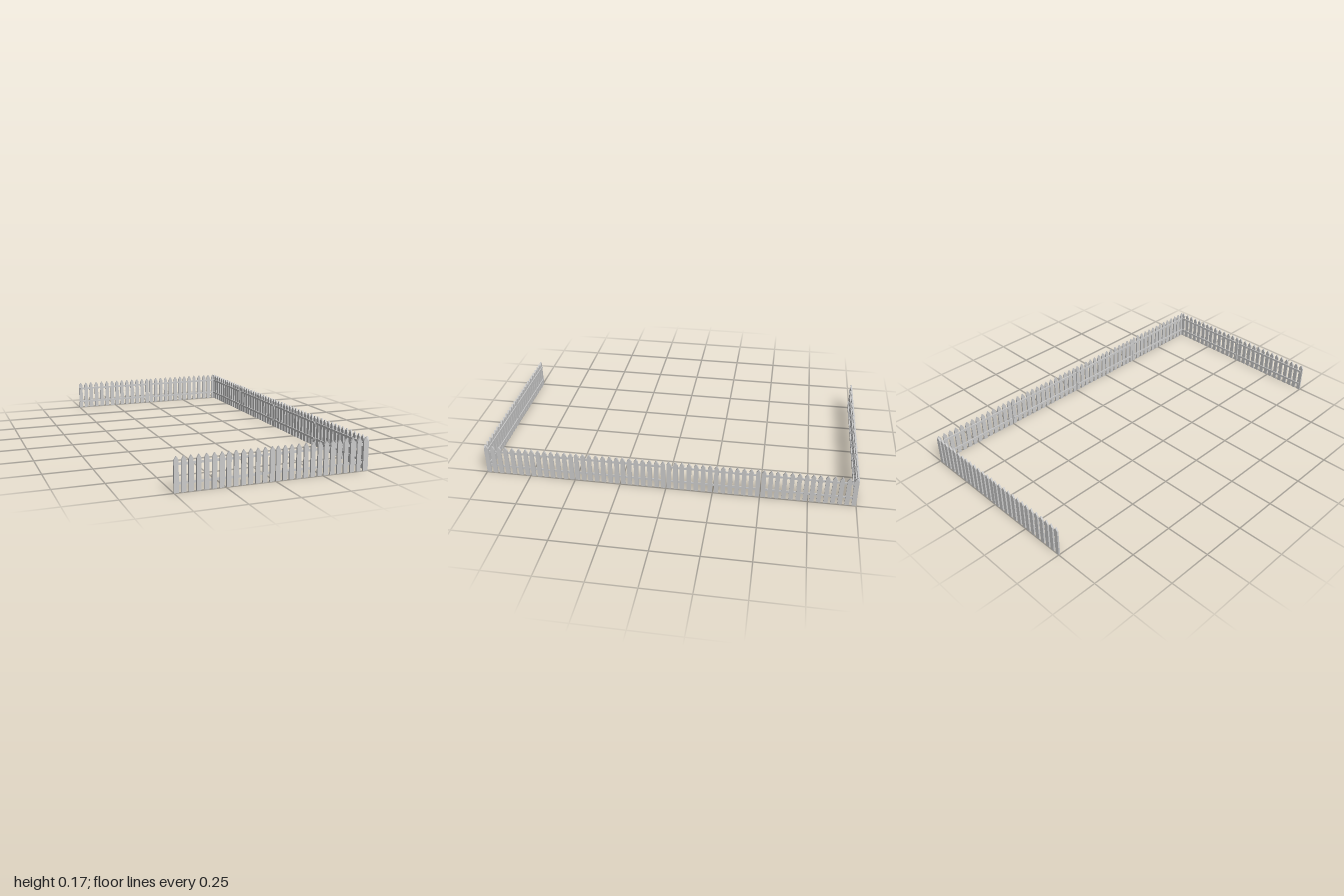
import * as THREE from 'three';

const LENGTH = 0.494, WIDTH = 0.023, THICK = 0.0088, RAIL_THICK = 0.005;
// Slightly uneven picket positions along a section
const OFFSETS = [0, 0.036, 0.0705, 0.108, 0.1455, 0.183, 0.22, 0.2535, 0.289, 0.326, 0.362, 0.3985, 0.435, 0.471];

// Upright board with a pointed top; its outer face lies at z = 0
function picketGeometry() {
  const w = WIDTH / 2, tip = 0.001;
  const outline = [[-w, 0], [w, 0], [w, 0.151], [tip, 0.169], [-tip, 0.169], [-w, 0.151]];
  const shape = new THREE.Shape(outline.map(([x, y]) => new THREE.Vector2(x, y)));
  return new THREE.ExtrudeGeometry(shape, { depth: THICK, bevelEnabled: false }).translate(0, 0, -THICK);
}

export function createModel() {
  const fence = new THREE.Group();
  fence.name = 'picketFence';
  const material = new THREE.MeshStandardMaterial({ color: 0xcccccc, flatShading: true });
  const picketGeo = picketGeometry();
  const railGeo = new THREE.BoxGeometry(LENGTH - 0.012, 0.0115, RAIL_THICK);

  // One fence section: pickets facing outwards, two rails behind them
  function addPanel(name, x, z, angle, direction = 1) {
    const panel = new THREE.Group();
    panel.name = name;
    for (const offset of OFFSETS) {
      const picket = new THREE.Mesh(picketGeo, material);
      picket.name = 'picket';
      picket.position.x = direction * (offset - (LENGTH - WIDTH) / 2);
      panel.add(picket);
    }
    for (const y of [0.0415, 0.1305]) {
      const rail = new THREE.Mesh(railGeo, material);
      rail.name = 'rail';
      rail.position.set(0, y, -THICK - RAIL_THICK / 2);
      panel.add(rail);
    }
    panel.position.set(x, 0, z);
    panel.rotation.y = angle;
    fence.add(panel);
  }

  // Two sections along the front and the back
  addPanel('frontPanel', -0.253, 1, 0);
  addPanel('frontPanel', 0.248, 1, 0);
  addPanel('backPanel', -0.253, -1, Math.PI, -1);
  addPanel('backPanel', 0.2475, -1, Math.PI);

  // Four sections along the left side, the foremost set slightly further out
  for (const z of [-0.752, -0.251, 0.251, 0.752]) {
    addPanel('sidePanel', z > 0.5 ? 0.5 : 0.4975, z, Math.PI / 2);
  }
  return fence;
}
